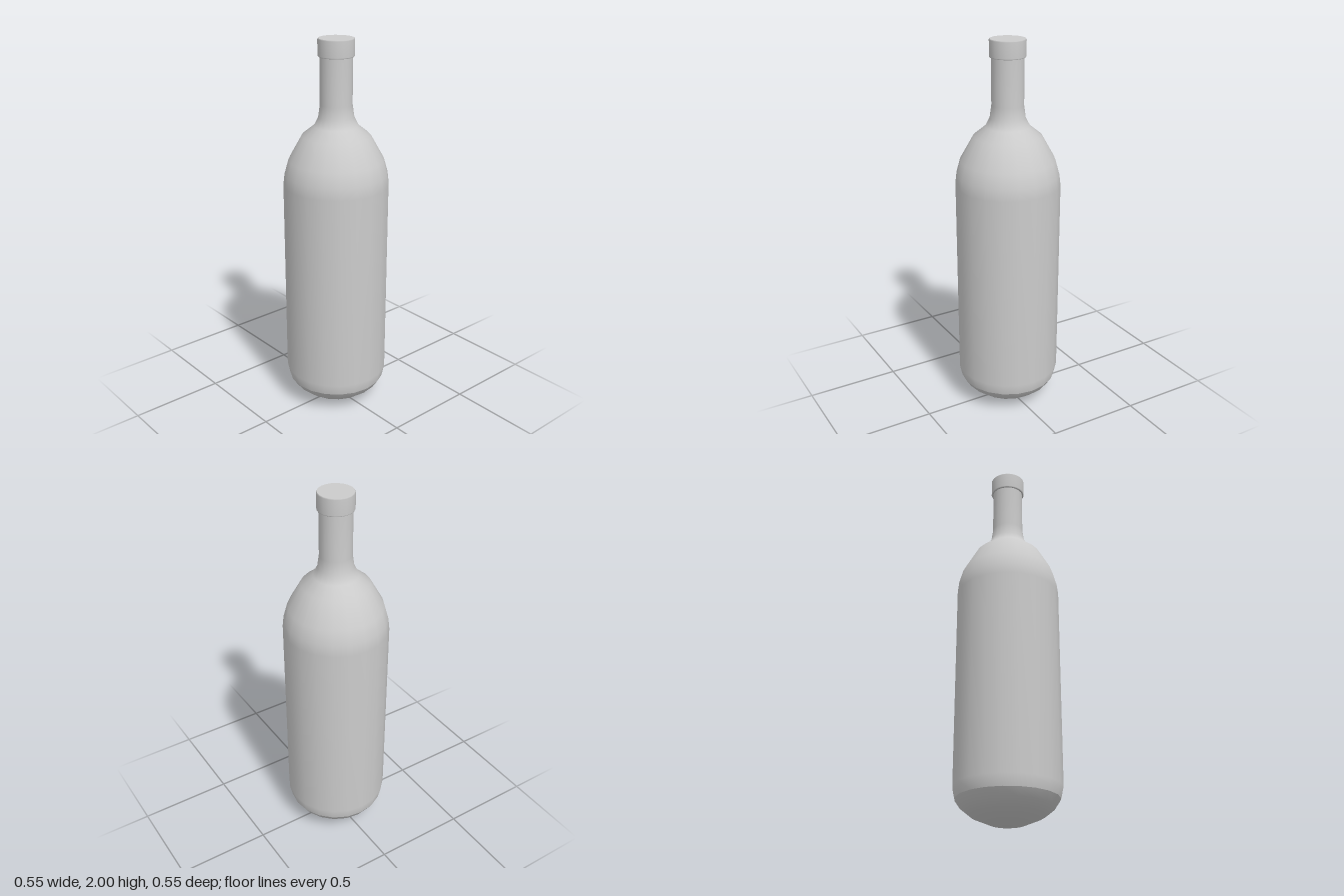
import * as THREE from 'three';

const SIDES = 20;
const material = new THREE.MeshStandardMaterial({ color: 0xcccccc });

// Revolve a bottom-to-top profile of [radius, height] pairs
function turned(name, profile) {
  const points = profile.map(([r, y]) => new THREE.Vector2(r, y));
  const mesh = new THREE.Mesh(new THREE.LatheGeometry(points, SIDES), material);
  mesh.name = name;
  return mesh;
}

export function createModel() {
  const bottle = new THREE.Group();
  bottle.name = 'bottle';

  // Rounded base, meeting the body at a shading crease
  bottle.add(turned('base', [[0, 0], [0.09, 0.01], [0.185, 0.05], [0.235, 0.09], [0.262, 0.13]]));

  // Straight body, curved shoulder and neck in one smooth surface
  bottle.add(turned('body', [
    [0.262, 0.13], [0.275, 0.19], [0.275, 1.25], [0.268, 1.31], [0.247, 1.385],
    [0.177, 1.51], [0.115, 1.56], [0.092, 1.605], [0.083, 1.67], [0.083, 1.915],
  ]));

  // Cap: underside, wall with slight bevels, flat top
  const cap = new THREE.Group();
  cap.name = 'cap';
  cap.add(
    turned('capUnderside', [[0.08, 1.91], [0.09, 1.91]]),
    turned('capWall', [[0.09, 1.91], [0.093, 1.915], [0.093, 1.995], [0.09, 2]]),
    turned('capTop', [[0.09, 2], [0, 2]]),
  );
  bottle.add(cap);

  return bottle;
}
